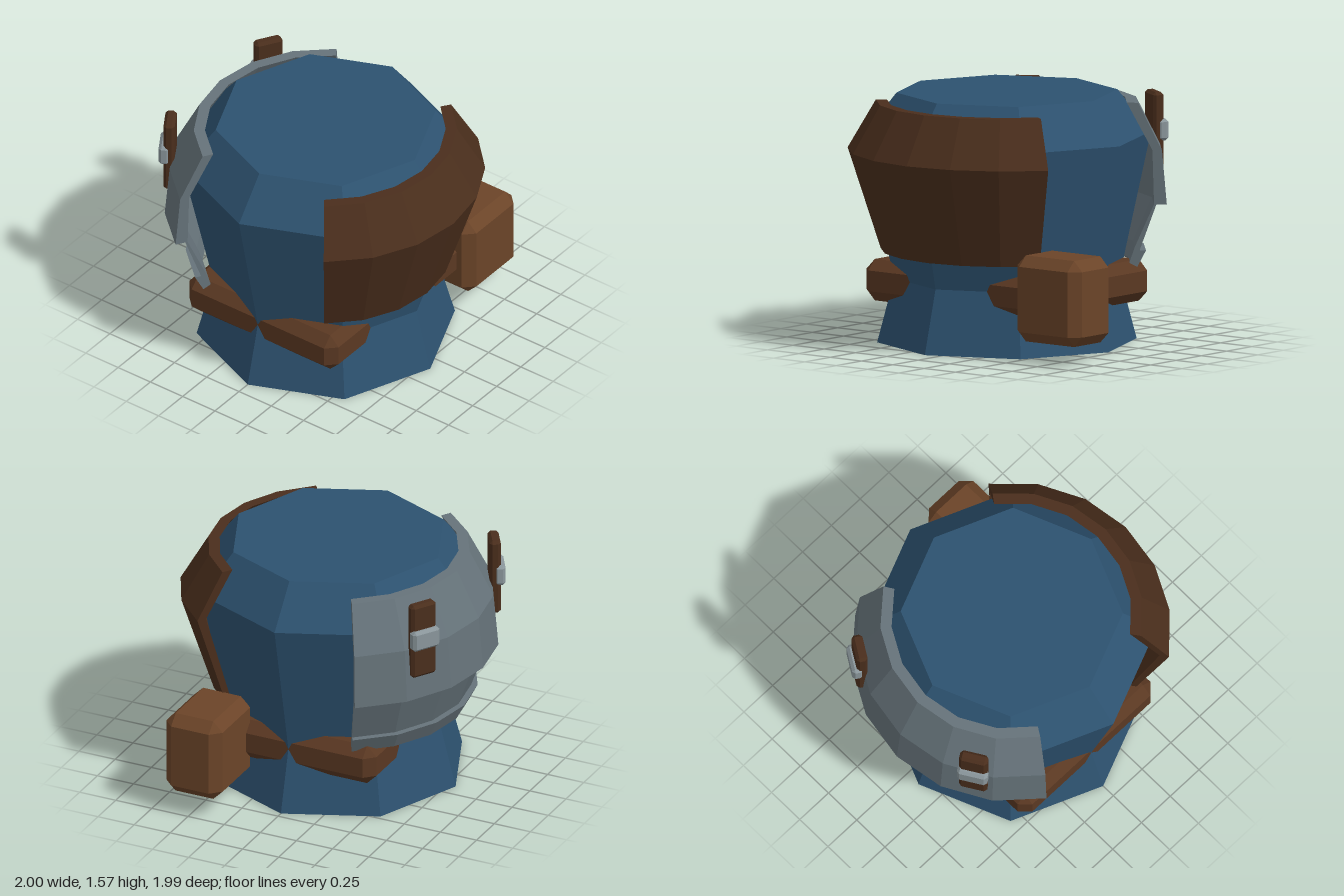
import * as THREE from 'three';
import { mergeGeometries } from 'three/addons/utils/BufferGeometryUtils.js';
import { ConvexGeometry } from 'three/addons/geometries/ConvexGeometry.js';

const AXIS_X = -0.1; // the torso axis sits off centre because of the side pouch

const paint = (color, side = THREE.FrontSide) =>
  new THREE.MeshStandardMaterial({ color, side, flatShading: true });

function addMesh(parent, name, geometry, material, x = 0, y = 0, z = 0) {
  const mesh = new THREE.Mesh(geometry, material);
  mesh.name = name;
  mesh.position.set(x, y, z);
  parent.add(mesh);
  return mesh;
}

// Box with every edge cut at 45 degrees
function chamferBox(w, h, d, c) {
  const points = [];
  for (const sx of [-1, 1]) for (const sy of [-1, 1]) for (const sz of [-1, 1]) {
    for (let axis = 0; axis < 3; axis++) {
      const inset = [c, c, c];
      inset[axis] = 0;
      points.push(new THREE.Vector3(
        sx * (w / 2 - inset[0]), sy * (h / 2 - inset[1]), sz * (d / 2 - inset[2])));
    }
  }
  return new ConvexGeometry(points);
}

// Closed [radius, height] section swept in six flat steps around the torso, with end caps
function arcPlate(section, middleDeg, halfDeg) {
  const points = section.map(([r, y]) => new THREE.Vector2(r, y));
  const middle = THREE.MathUtils.degToRad(middleDeg);
  const half = THREE.MathUtils.degToRad(halfDeg);
  const sweep = new THREE.LatheGeometry([...points, points[0]], 6, middle - half, half * 2);
  const caps = [-half, half].map((a) =>
    new THREE.ShapeGeometry(new THREE.Shape(points)).rotateY(middle + a - Math.PI / 2));
  return mergeGeometries([sweep, ...caps]);
}

export function createModel() {
  const model = new THREE.Group();
  model.name = 'armouredTorso';
  const torso = new THREE.Group();
  torso.name = 'torso';
  torso.position.x = AXIS_X;
  model.add(torso);

  const leather = paint(0x4a2e1c);
  const belt = paint(0x5a3822);

  // Eight-sided tunic, pinched at the waist
  const tunic = [[0, 0], [0.81, 0], [0.705, 0.4], [0.9, 1.3], [0.69, 1.565], [0, 1.565]]
    .map(([r, y]) => new THREE.Vector2(r, y));
  addMesh(torso, 'tunic', new THREE.LatheGeometry(tunic, 8), paint(0x2d5270));

  // Leather chest plate
  addMesh(torso, 'chestPlate', arcPlate([
    [0.745, 0.575], [0.785, 0.575], [0.99, 1.205], [0.815, 1.505], [0.745, 1.505], [0.93, 1.205],
  ], 0, 54), paint(0x4a2e1c, THREE.DoubleSide));

  // Metal back plate: overhanging upper band, tapered middle and flared lower rim
  addMesh(torso, 'backPlate', arcPlate([
    [0.765, 0.5], [0.815, 0.475], [0.87, 0.58], [0.83, 0.58], [0.935, 0.87], [1.0, 0.87],
    [0.97, 1.21], [0.82, 1.505], [0.75, 1.505], [0.91, 1.21], [0.92, 0.87], [0.8, 0.6],
  ], 180, 58), paint(0x66737a, THREE.DoubleSide));

  // Pair of buckled straps on the back plate
  const strapGeometry = chamferBox(0.18, 0.5, 0.07, 0.018);
  const buckleGeometry = chamferBox(0.195, 0.135, 0.07, 0.018);
  const metal = paint(0x8a969b);
  for (const side of [-1, 1]) {
    const holder = new THREE.Group();
    holder.name = side > 0 ? 'leftShoulderStrap' : 'rightShoulderStrap';
    holder.rotation.y = Math.PI - side * 0.55;
    torso.add(holder);
    addMesh(holder, 'strap', strapGeometry, leather, 0, 1.27, 0.97);
    addMesh(holder, 'strapBuckle', buckleGeometry, metal, 0, 1.283, 1.0);
  }

  // Square belt whose corners show outside the tunic, with its clasp at the back
  addMesh(torso, 'belt', chamferBox(1.41, 0.26, 1.155, 0.065), belt, 0, 0.38, 0);
  addMesh(torso, 'beltClasp', chamferBox(0.27, 0.19, 0.15, 0.035), paint(0xc08a30), 0, 0.395, -0.597);

  // Pouch on the left of the belt
  addMesh(model, 'pouch', chamferBox(0.515, 0.54, 0.39, 0.065), paint(0x6b4428), 0.7425, 0.395, 0.487);

  return model;
}
